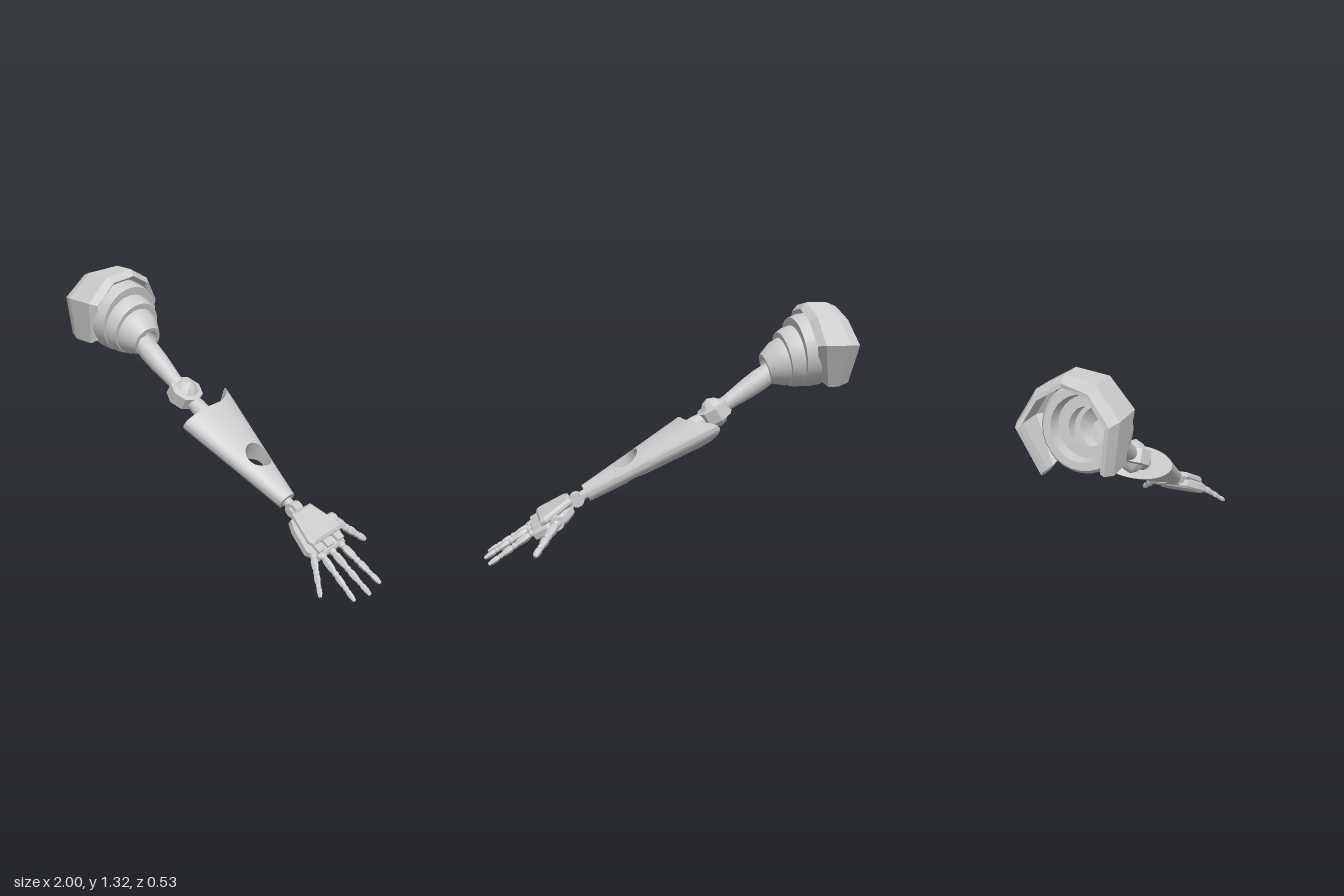
import * as THREE from 'three';
import { toCreasedNormals } from 'three/addons/utils/BufferGeometryUtils.js';

const material = new THREE.MeshStandardMaterial({ color: 0xcccccc, side: THREE.DoubleSide });
const V = (x, y, z) => new THREE.Vector3(x, y, z);
const lerp = THREE.MathUtils.lerp;

function add(parent, name, geometry, crease = 0.5) {
  const mesh = new THREE.Mesh(toCreasedNormals(geometry, crease), material);
  mesh.name = name;
  parent.add(mesh);
  return mesh;
}

// Turned part: profile of [radius, distance] spun about the line from start along dir
function turned(parent, name, profile, start, dir, sides = 28) {
  const geometry = new THREE.LatheGeometry(profile.map(p => new THREE.Vector2(p[0], p[1])), sides);
  const mesh = add(parent, name, geometry);
  mesh.position.copy(start);
  mesh.quaternion.setFromUnitVectors(V(0, 1, 0), dir.clone().normalize());
  return mesh;
}

// Skin over closed cross-section loops; wraps round or gets flat end caps
function loft(rings, wrap) {
  const m = rings[0].length, n = rings.length, index = [];
  for (let i = 0; i < (wrap ? n : n - 1); i++) {
    for (let j = 0; j < m; j++) {
      const a = i * m + j, b = i * m + (j + 1) % m;
      const c = ((i + 1) % n) * m + j, d = ((i + 1) % n) * m + (j + 1) % m;
      index.push(a, c, b, b, c, d);
    }
  }
  if (!wrap) {
    // ring points come in outer/inner pairs: j and m-1-j
    for (let j = 0; j < m / 2 - 1; j++) {
      const k = m - 1 - j, e = (n - 1) * m;
      index.push(j, j + 1, k, j + 1, k - 1, k);
      index.push(e + j, e + k, e + j + 1, e + j + 1, e + k, e + k - 1);
    }
  }
  const geometry = new THREE.BufferGeometry();
  geometry.setAttribute('position', new THREE.Float32BufferAttribute(
    rings.flat().flatMap(p => [p.x, p.y, p.z]), 3));
  geometry.setIndex(index);
  return geometry;
}

// Bevelled plate from an outline of [x, z], spanning bottom..top in y
function plate(parent, name, outline, bottom, top, bevel = 0.01) {
  const shape = new THREE.Shape(outline.map(p => new THREE.Vector2(p[0], p[1])));
  const geometry = new THREE.ExtrudeGeometry(shape, {
    depth: top - bottom - 2 * bevel, bevelThickness: bevel, bevelSize: bevel,
    bevelOffset: -bevel, bevelSegments: 1 });
  geometry.rotateX(Math.PI / 2).translate(0, top - bevel, 0);
  return add(parent, name, geometry, 0.3);
}

// Faceted C-shaped shoulder guard, open underneath
function shoulderGuard(parent) {
  // each corner: z, y, rear x, front x
  const corners = [
    [0.23, 0.93, -1.0, -0.81], [0.26, 1.17, -1.0, -0.77], [0.14, 1.30, -0.96, -0.75],
    [-0.02, 1.32, -0.91, -0.74], [-0.15, 1.245, -0.93, -0.75], [-0.23, 1.10, -0.97, -0.77],
    [-0.11, 0.87, -0.96, -0.84]];
  const rings = corners.map(([z, y, rear, front]) => {
    const at = (x, s) => V(x, 1.08 + (y - 1.08) * s, 0.02 + (z - 0.02) * s);
    return [at(rear, 0.9), at(rear + 0.06, 1), at(front, 1), at(front + 0.035, 0.86),
      at(front + 0.02, 0.8), at(front - 0.01, 0.88), at(rear + 0.06, 0.88), at(rear, 0.82)];
  });
  add(parent, 'shoulderGuard', loft(rings, false), 0.2);
}

// Stepped shoulder sleeve that bends downward ring by ring, hollow at the back
function shoulderSleeve(parent) {
  turned(parent, 'sleeveRingLarge', [[0.09, 0.06], [0.14, 0.06], [0.15, 0], [0.185, 0],
    [0.2, 0.02], [0.2, 0.08], [0.19, 0.125], [0.14, 0.125]],
    V(-0.82, 1.07, 0.035), V(0.99, -0.16, 0));
  turned(parent, 'sleeveRingMiddle', [[0.17, -0.05], [0.17, 0], [0.165, 0.05], [0.15, 0.085],
    [0.1, 0.085]], V(-0.715, 1.03, 0.04), V(0.97, -0.22, 0.02));
  turned(parent, 'sleeveRingSmall', [[0.135, -0.05], [0.135, 0], [0.125, 0.05], [0.085, 0.12],
    [0.065, 0.12], [0.06, 0.04], [0, 0.04]], V(-0.65, 1.0, 0.045), V(0.93, -0.33, 0.05));
}

// Flattened, tapering forearm shell with a round hole through it
function forearm(parent) {
  const LEN = 0.64, hole = { u: 0.367, z: 0.012, r: 0.075 };
  const edgeRight = u => lerp(-0.21, -0.02, (u + 0.117) / (LEN + 0.117));
  const edgeLeft = u => lerp(0.21, 0.085, u / LEN);
  const height = (u, z) => {
    const a = edgeRight(u), b = edgeLeft(u), w = (2 * z - a - b) / (b - a);
    return lerp(0.088, 0.048, Math.max(0, u) / LEN) * Math.sqrt(Math.max(0, 1 - w * w));
  };
  // plan outline, with the upper end scooped out to a point on one side
  const outline = [], S = 18;
  for (let i = 0; i < S; i++) {
    const w = Math.cos(Math.PI * i / S), u = -0.117 * Math.max(0, -w) ** 2.5;
    outline.push([u, lerp(edgeRight(u), edgeLeft(u), (w + 1) / 2)]);
  }
  for (let i = 0; i < S; i++) { const u = lerp(-0.117, LEN, i / S); outline.push([u, edgeRight(u)]); }
  for (let i = 0; i < S; i++) {
    const w = -Math.cos(Math.PI * i / S);
    outline.push([LEN, lerp(edgeRight(LEN), edgeLeft(LEN), (w + 1) / 2)]);
  }
  for (let i = 0; i < S; i++) { const u = lerp(LEN, 0, i / S); outline.push([u, edgeLeft(u)]); }
  // each loop runs from the hole out over the top and back underneath
  const rings = outline.map(([bu, bz]) => {
    const du = bu - hole.u, dz = bz - hole.z, k = hole.r / Math.hypot(du, dz), M = 12;
    const top = [], under = [];
    for (let j = 0; j <= M; j++) {
      const s = lerp(k, 1, 1 - (1 - j / M) ** 2);
      const u = hole.u + du * s, z = hole.z + dz * s, h = height(u, z);
      top.push(V(u, h, z));
      under.unshift(V(u, -h, z));
    }
    return [...top, ...under];
  });
  const mesh = add(parent, 'forearmShell', loft(rings, true), 0.7);
  mesh.position.set(-0.1, 0.635, 0);
  mesh.rotation.z = -0.505;
}

// Three tapering faceted segments with ball joints between them
function finger(parent, name, base, tip, r) {
  const group = new THREE.Group();
  group.name = name;
  group.position.copy(base);
  const dir = tip.clone().sub(base), length = dir.length();
  group.quaternion.setFromUnitVectors(V(0, 1, 0), dir.normalize());
  const stops = [0, 0.4, 0.72, 1];
  for (let i = 0; i < 3; i++) {
    const a = stops[i] * length, l = (stops[i + 1] - stops[i]) * length, q = r * (1 - 0.14 * i);
    const joint = add(group, name + 'Joint', new THREE.SphereGeometry(q * 0.95, 10, 7));
    joint.position.y = a;
    turned(group, name + 'Segment', [[0, 0.08 * l], [q * 0.7, 0.1 * l], [q, 0.3 * l],
      [q * 0.95, 0.65 * l], [q * 0.6, 0.97 * l], [0, l]], V(0, a, 0), V(0, 1, 0), 6);
  }
  parent.add(group);
}

function hand(parent) {
  const group = new THREE.Group();
  group.name = 'hand';
  group.position.set(0.51, 0.295, 0);
  group.rotation.z = -Math.PI / 6;
  // wrist hinge with fork
  const hinge = add(group, 'wristHinge', new THREE.CylinderGeometry(0.038, 0.038, 0.055, 20));
  hinge.rotation.x = Math.PI / 2;
  hinge.position.z = 0.033;
  for (const z of [-0.002, 0.068]) {
    const bar = add(group, 'wristFork', new THREE.BoxGeometry(0.09, 0.035, 0.014));
    bar.position.set(0.03, 0, z);
  }
  turned(group, 'wristRod', [[0, 0], [0.026, 0], [0.026, 0.07], [0, 0.07]],
    V(-0.07, 0, 0.033), V(1, 0, 0), 16);
  // palm, back plate and knuckle guard
  plate(group, 'palm', [[0.04, -0.03], [0.09, -0.095], [0.2, -0.12], [0.28, -0.085],
    [0.285, 0.12], [0.22, 0.165], [0.09, 0.13], [0.04, 0.1]], -0.047, 0.012, 0.014);
  plate(group, 'backPlate', [[0.025, -0.045], [0.19, -0.105], [0.22, -0.09],
    [0.22, 0.13], [0.19, 0.145], [0.025, 0.1]], 0.005, 0.048, 0.014);
  for (const z of [-0.05, 0.033, 0.105]) {
    const guard = add(group, 'knuckleGuard', new THREE.BoxGeometry(0.055, 0.035, 0.05));
    guard.position.set(0.235, 0.01, z);
  }
  // thumb mount
  const mount = add(group, 'thumbMount', new THREE.CylinderGeometry(0.035, 0.035, 0.05, 16));
  mount.rotation.x = Math.PI / 2;
  mount.position.set(0.145, -0.008, -0.115);
  parent.add(group);

  finger(parent, 'indexFinger', V(0.755, 0.15, -0.05), V(0.98, 0.008, -0.078), 0.021);
  finger(parent, 'middleFinger', V(0.76, 0.15, 0.033), V(0.998, 0.006, 0.036), 0.021);
  finger(parent, 'ringFinger', V(0.75, 0.15, 0.1), V(0.975, 0.01, 0.135), 0.021);
  finger(parent, 'littleFinger', V(0.725, 0.16, 0.145), V(0.855, 0.032, 0.25), 0.02);
  finger(parent, 'thumb', V(0.635, 0.215, -0.13), V(0.76, 0.09, -0.258), 0.026);
}

export function createModel() {
  const model = new THREE.Group();
  model.name = 'mechanicalArm';
  shoulderGuard(model);
  shoulderSleeve(model);
  turned(model, 'upperArm', [[0, 0], [0.055, 0], [0.06, 0.08], [0.056, 0.16], [0.042, 0.3],
    [0.042, 0.36], [0, 0.36]], V(-0.575, 0.945, 0.055), V(0.84, -0.55, 0), 20);
  // faceted elbow drum with pointed caps
  turned(model, 'elbow', [[0, -0.088], [0.04, -0.07], [0.065, -0.042], [0.092, -0.036],
    [0.092, 0.036], [0.065, 0.042], [0.04, 0.07], [0, 0.088]],
    V(-0.25, 0.73, 0.052), V(0.5, 0.86, 0), 8);
  turned(model, 'forearmRod', [[0, 0], [0.036, 0], [0.046, 0.07], [0.046, 0.17], [0, 0.17]],
    V(-0.21, 0.705, 0.048), V(0.875, -0.484, 0), 20);
  forearm(model);
  hand(model);
  return model;
}
